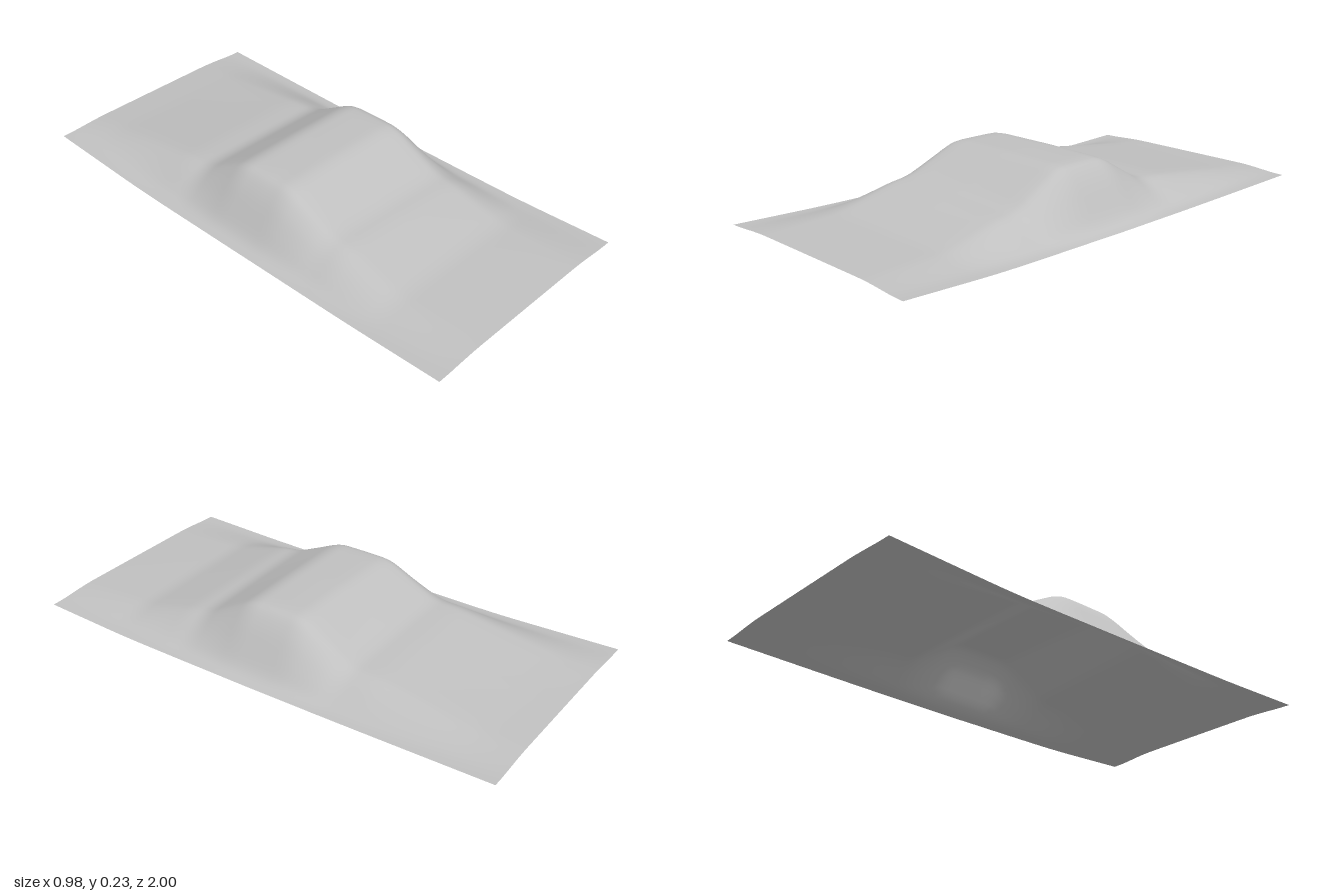
import * as THREE from 'three';

// Piecewise-linear curve through [position, value] pairs
function linear(points, t) {
  if (t <= points[0][0]) return points[0][1];
  for (let i = 1; i < points.length; i++) {
    const [a, va] = points[i - 1], [b, vb] = points[i];
    if (t <= b) return va + (vb - va) * (t - a) / (b - a);
  }
  return points[points.length - 1][1];
}

// The same curve with its corners rounded over a small radius
function rounded(points, t, radius) {
  let sum = 0;
  for (let i = -4; i <= 4; i++) sum += linear(points, t + (i / 4) * radius);
  return sum / 9;
}

// Height of the centre line, from back to front
const crest = [
  [-1.1, 0.028], [-0.85, 0.05], [-0.6, 0.083], [-0.42, 0.107], [-0.31, 0.112],
  [-0.1, 0.234], [0, 0.236], [0.13, 0.235], [0.35, 0.122], [0.42, 0.115],
  [0.67, 0.049], [0.85, 0.043], [1.1, 0.034],
];
// Heights of the two long edges, from back to front
const leftEdge = [[-1.1, 0.027], [-0.5, 0.014], [0, 0.005], [0.6, 0.006], [1.1, 0.024]];
const rightEdge = [[-1.1, 0.032], [-0.5, 0.01], [0, 0.012], [0.6, 0.02], [1.1, 0.035]];
// How much of the crest height remains at a distance from the centre line
const flank = [[0, 1], [0.24, 0.99], [0.295, 0.965], [0.345, 0.73], [0.44, 0.09], [0.49, 0], [0.6, 0]];
// Sideways lean of the two ledges
const lean = [[-1, 0], [-0.35, 0.02], [-0.1, 0.004], [0.1, 0.004], [0.36, 0.045], [0.6, 0.03], [1, 0.01]];

function height(x, z) {
  const edge = rounded(x > 0 ? leftEdge : rightEdge, z, 0.1);
  const other = rounded(x > 0 ? rightEdge : leftEdge, z, 0.1);
  const share = rounded(flank, Math.abs(x), 0.02);
  const side = Math.min(1, Math.abs(x) / 0.3);
  const base = THREE.MathUtils.lerp((edge + other) / 2, edge, side);
  const top = rounded(crest, z, 0.035) - x * rounded(lean, z, 0.05);
  return base + (top - base) * share;
}

export function createModel() {
  const model = new THREE.Group();
  const grey = new THREE.MeshStandardMaterial({ color: 0xc0c0c0, side: THREE.DoubleSide });
  grey.name = 'grey';

  // One thin sheet, raised over a stepped hump
  const geometry = new THREE.PlaneGeometry(0.98, 2, 70, 140);
  geometry.rotateX(-Math.PI / 2);
  const position = geometry.attributes.position;
  for (let i = 0; i < position.count; i++) {
    position.setY(i, height(position.getX(i), position.getZ(i)));
  }
  // Stand the sheet on the ground
  geometry.computeBoundingBox();
  geometry.translate(0, -geometry.boundingBox.min.y, 0);
  geometry.computeVertexNormals();

  const sheet = new THREE.Mesh(geometry, grey);
  sheet.name = 'drapedSheet';
  model.add(sheet);
  return model;
}
